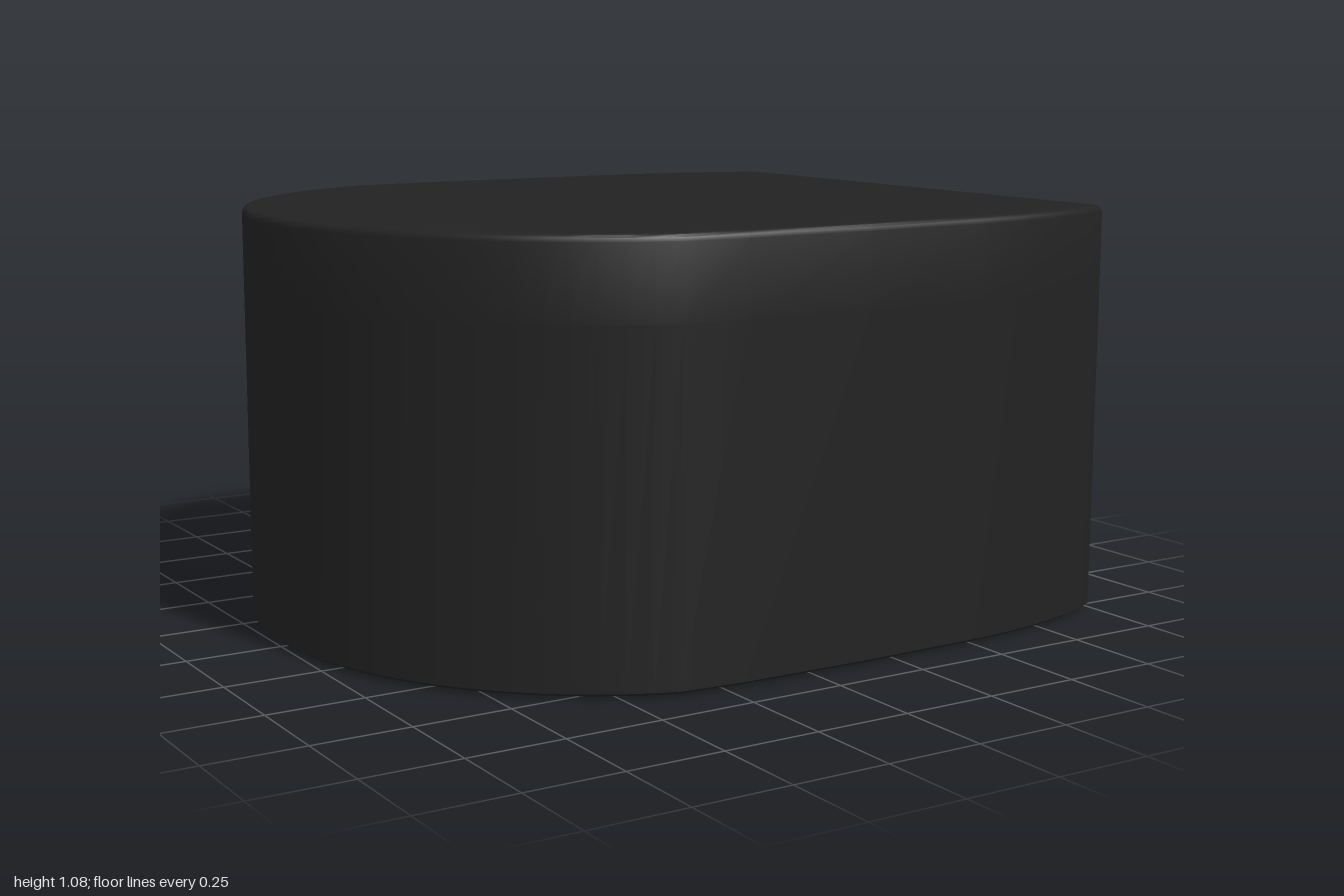
import * as THREE from 'three';
import { toCreasedNormals } from 'three/addons/utils/BufferGeometryUtils.js';

const DOOR_HALF = 0.605, DOOR_TOP = 0.875, DOOR_BOTTOM = 0.02, RECESS_X = 0.962;

// Plan outline as [x, z]: flat door side at x = 1, round end at x = -1
function makeOutline() {
  const half = [[1, 0.77], [0.99, 0.785], [0.93, 0.812], [0.87, 0.835], [0.75, 0.866], [0.62, 0.886],
    [0.5, 0.894], [0.15, 0.9], [-0.2, 0.894]];
  const R = 0.93, start = Math.asin(0.88 / R), n = 18;
  for (let i = 0; i <= n; i++) {
    const a = start * (1 - i / n);
    half.push([-1 + R - R * Math.cos(a), R * Math.sin(a)]);
  }
  const mirrored = half.slice(0, -1).reverse().map(([x, z]) => [x, -z]);
  return half.concat(mirrored);
}

// Skin between scaled copies of an outline; rings are [scale, y] from bottom to top
function loft(outline, rings) {
  const n = outline.length, pos = [], index = [];
  for (const [s, y] of rings) for (const [x, z] of outline) pos.push(x * s, y, z * s);
  for (let r = 0; r < rings.length - 1; r++) {
    for (let i = 0; i < n; i++) {
      const j = (i + 1) % n, a = r * n + i, b = r * n + j;
      if (rings[r][0] > 0) index.push(a, a + n, b);
      if (rings[r + 1][0] > 0) index.push(b, a + n, b + n);
      else if (rings[r][0] === 0) continue;
    }
  }
  const g = new THREE.BufferGeometry();
  g.setAttribute('position', new THREE.Float32BufferAttribute(pos, 3));
  g.setIndex(index);
  return toCreasedNormals(g, 0.7);
}

export function createModel() {
  const group = new THREE.Group();
  const charcoal = new THREE.MeshStandardMaterial({ color: 0x222222 });
  charcoal.name = 'charcoal';
  const grey = new THREE.MeshStandardMaterial({ color: 0x9c9c9c });
  grey.name = 'shutterGrey';

  const add = (name, geometry, material, parent = group) => {
    const mesh = new THREE.Mesh(geometry, material);
    mesh.name = name;
    parent.add(mesh);
    return mesh;
  };

  // Shell: base, walls with a door recess, and roof with a soft rim
  const outline = makeOutline();
  const notched = outline.concat([[1, -DOOR_HALF], [RECESS_X, -DOOR_HALF], [RECESS_X, DOOR_HALF], [1, DOOR_HALF]]);
  add('base', loft(outline, [[0, 0], [0.6, 0.002], [0.97, 0.004], [0.99, 0.006], [1, 0.013],
    [1, DOOR_BOTTOM], [0, DOOR_BOTTOM]]), charcoal);
  add('walls', loft(notched, [[1, DOOR_BOTTOM], [1, DOOR_TOP]]), charcoal);
  add('roof', loft(outline, [[0, DOOR_TOP], [1, DOOR_TOP], [1, 1.062], [0.997, 1.072], [0.991, 1.078],
    [0.982, 1.08], [0.95, 1.08], [0, 1.08]]), charcoal);

  // Roller shutter: grey above the split height, charcoal below
  const shutter = new THREE.Group();
  shutter.name = 'rollerShutter';
  group.add(shutter);
  const SPLIT = 0.295, PITCH = 0.0806, GROOVE = 0.017, FIRST = 0.02;
  const strip = (name, y0, y1, x0, x1) => {
    for (const [lo, hi, mat] of [[y0, Math.min(y1, SPLIT), charcoal], [Math.max(y0, SPLIT), y1, grey]]) {
      if (hi - lo < 0.001) continue;
      const m = add(name, new THREE.BoxGeometry(x1 - x0, hi - lo, DOOR_HALF * 2), mat, shutter);
      m.position.set((x0 + x1) / 2, (lo + hi) / 2, 0);
    }
  };
  strip('shutterBacking', DOOR_BOTTOM, DOOR_TOP, RECESS_X - 0.01, RECESS_X + 0.004);
  for (let i = 0; i < 11; i++) {
    const y = FIRST + i * PITCH;
    strip('shutterSlat', y + GROOVE / 2, Math.min(y + PITCH - GROOVE / 2, DOOR_TOP), RECESS_X, 0.985);
  }
  return group;
}
